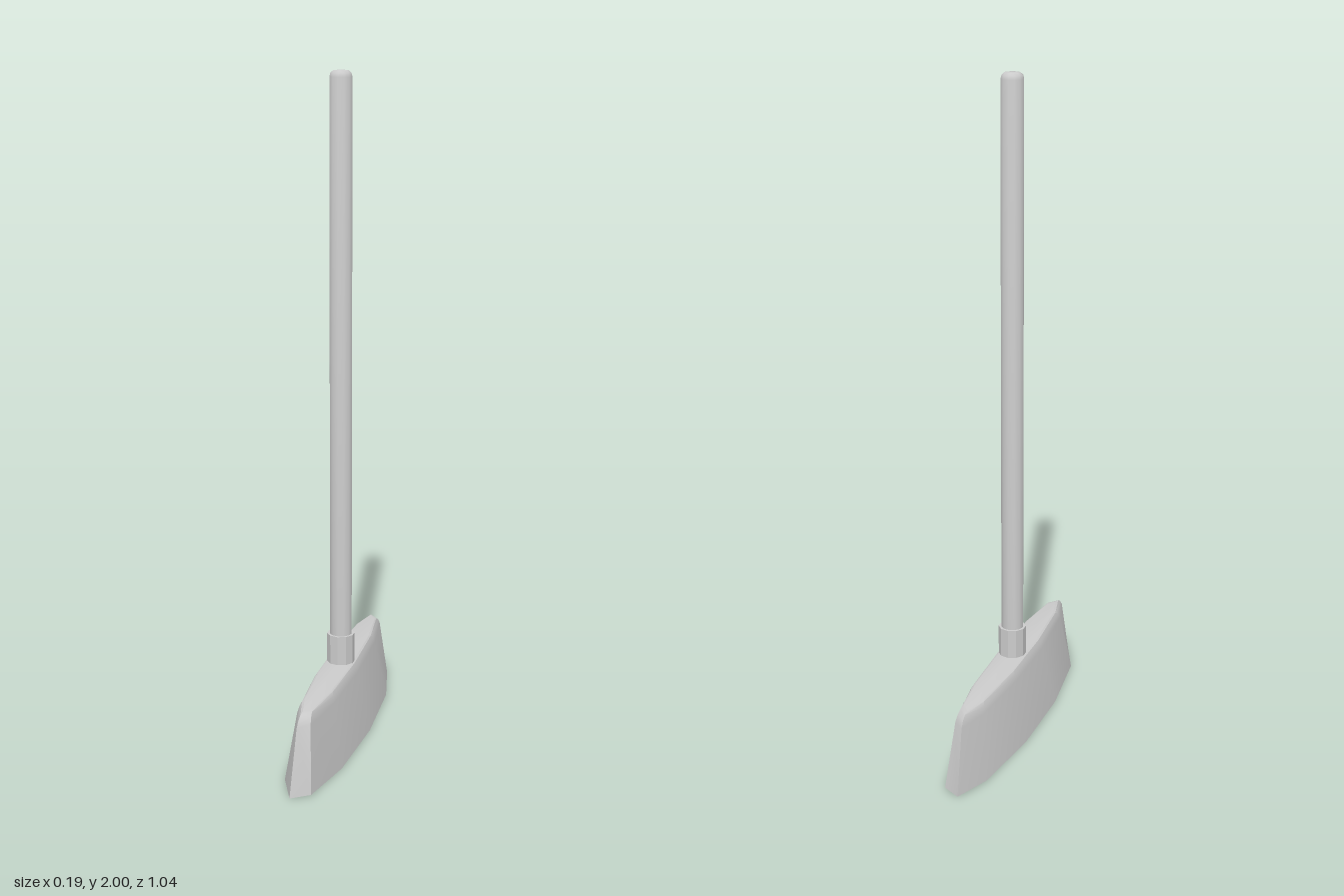
import * as THREE from 'three';
import { toCreasedNormals } from 'three/addons/utils/BufferGeometryUtils.js';

const material = new THREE.MeshStandardMaterial({ color: 0xcccccc });

function addPart(group, name, geometry, crease) {
  const mesh = new THREE.Mesh(toCreasedNormals(geometry, crease), material);
  mesh.name = name;
  group.add(mesh);
}

// Footprint of the head as [x, z]
const outline = [
  [-0.017, -0.52], [0.036, -0.483], [0.077, -0.29], [0.092, 0], [0.077, 0.29], [0.036, 0.483],
  [-0.017, 0.52], [-0.064, 0.403], [-0.095, 0.14], [-0.095, -0.14], [-0.064, -0.403],
];

// Cross-sections of the head as [y, x scale, z scale]
const levels = [
  [0, 1, 1], [0.19, 0.6, 0.895], [0.207, 0.54, 0.867], [0.217, 0.48, 0.83], [0.22, 0.42, 0.79],
];

function headGeometry() {
  const n = outline.length;
  const points = [];
  const index = [];
  for (const [y, sx, sz] of levels) {
    for (const [x, z] of outline) points.push(x * sx, y, z * sz);
  }
  const bottom = n * levels.length;
  const top = bottom + 1;
  points.push(0, 0, 0, 0, levels[levels.length - 1][0], 0);
  const last = n * (levels.length - 1);
  for (let j = 0; j < n; j++) {
    const k = (j + 1) % n;
    for (let i = 0; i < levels.length - 1; i++) {
      const a = i * n + j, b = i * n + k;
      index.push(a, a + n, b + n, a, b + n, b);
    }
    index.push(bottom, j, k, top, last + k, last + j);
  }
  const geometry = new THREE.BufferGeometry();
  geometry.setAttribute('position', new THREE.Float32BufferAttribute(points, 3));
  geometry.setIndex(index);
  return geometry;
}

export function createModel() {
  const group = new THREE.Group();
  group.name = 'broom';

  // Flared head with rounded shoulders
  addPart(group, 'head', headGeometry(), 0.5);

  // Socket holding the pole
  const collar = new THREE.CylinderGeometry(0.042, 0.042, 0.1, 10);
  collar.translate(0, 0.26, 0);
  addPart(group, 'collar', collar, 0.5);

  // Long pole with a softly rounded tip
  const profile = [[0, 0.21], [0.034, 0.21], [0.034, 1.98], [0.031, 1.991], [0.023, 1.998], [0, 2]]
    .map(([r, y]) => new THREE.Vector2(r, y));
  addPart(group, 'pole', new THREE.LatheGeometry(profile, 12), 0.8);

  return group;
}
